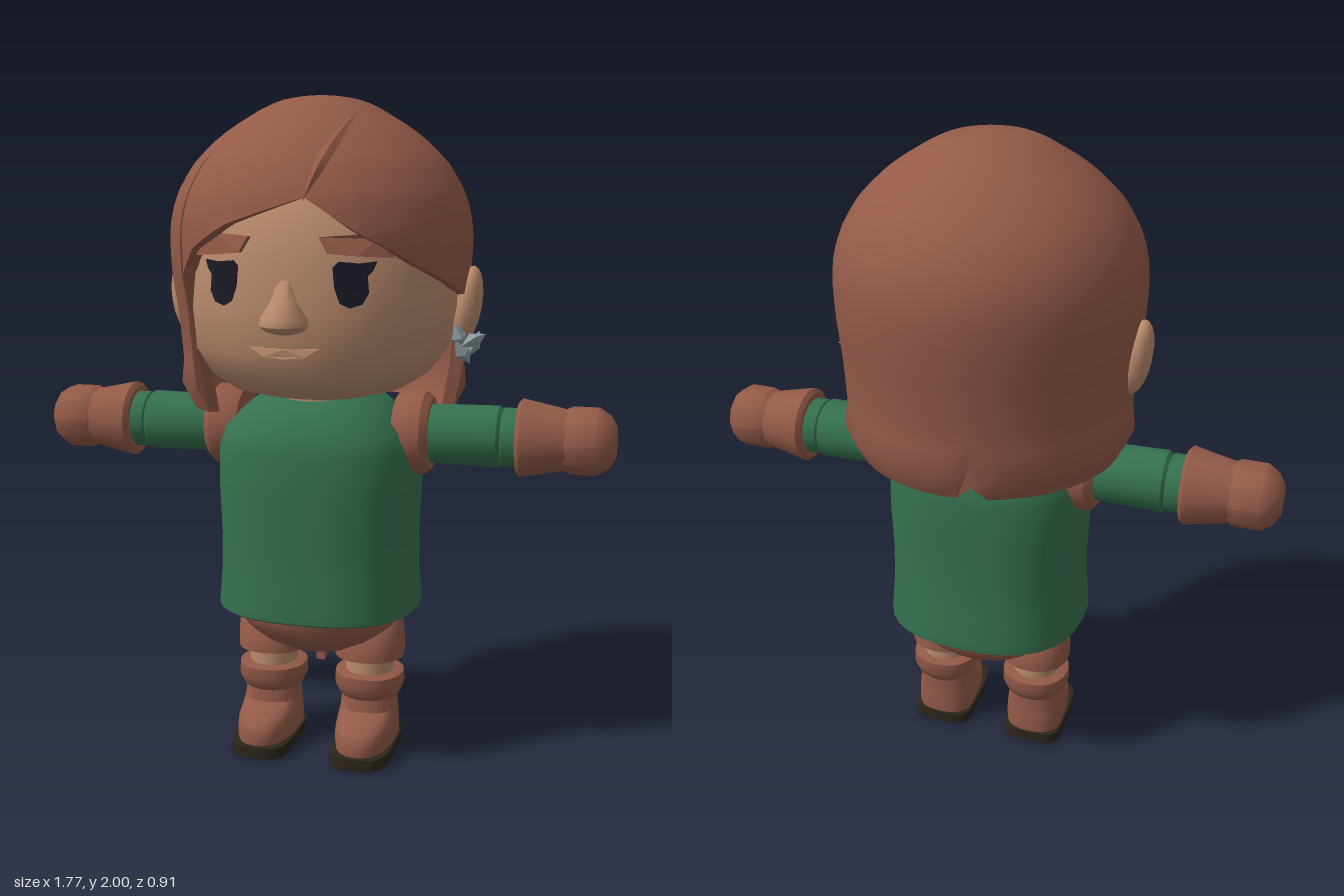
import * as THREE from 'three';
import { mergeVertices, toCreasedNormals } from 'three/addons/utils/BufferGeometryUtils.js';

const paint = (name, color) => Object.assign(new THREE.MeshStandardMaterial({ color }), { name });
const lerp = THREE.MathUtils.lerp;

// Reads a value from a sorted table of [key, value] pairs
function table(rows, k) {
  if (k <= rows[0][0]) return rows[0][1];
  for (let i = 1; i < rows.length; i++) {
    const [a, va] = rows[i - 1], [b, vb] = rows[i];
    if (k <= b) return lerp(va, vb, (k - a) / (b - a));
  }
  return rows[rows.length - 1][1];
}

// Surface from f(column, row): columns run to the right, rows run down
function grid(cols, rows, f, crease = 0.8) {
  const pos = [], idx = [];
  for (let j = 0; j <= rows; j++) for (let i = 0; i <= cols; i++) pos.push(...f(i, j));
  for (let j = 0; j < rows; j++) for (let i = 0; i < cols; i++) {
    const a = j * (cols + 1) + i, c = a + cols + 1;
    idx.push(a, c, a + 1, a + 1, c, c + 1);
  }
  const geo = new THREE.BufferGeometry();
  geo.setAttribute('position', new THREE.Float32BufferAttribute(pos, 3));
  geo.setIndex(idx);
  const merged = mergeVertices(geo, 1e-4);
  merged.computeVertexNormals();
  return toCreasedNormals(merged, crease);
}

// Closed body from levels [y, half width, front depth, back depth], top to bottom
function loft(levels, n = 2, seg = 32) {
  const first = levels[0], last = levels[levels.length - 1];
  const all = [[first[0], 0, 0, 0], ...levels, [last[0], 0, 0, 0]];
  const round = v => Math.sign(v) * Math.pow(Math.abs(v), 2 / n);
  return grid(seg, all.length - 1, (i, j) => {
    const [y, rx, zf, zb = zf] = all[j];
    const a = (i % seg) / seg * Math.PI * 2;
    const c = Math.cos(a);
    return [rx * round(Math.sin(a)), y, (c > 0 ? zf : zb) * round(c)];
  });
}

// Turned part along +x from [x, radius] points
function turned(points, seg = 16) {
  const geo = new THREE.LatheGeometry(points.map(([x, r]) => new THREE.Vector2(r, x)), seg);
  geo.rotateZ(-Math.PI / 2);
  return toCreasedNormals(geo, 0.7);
}

const FACE = [
  [1.82, 0.26, 0.24, 0.25], [1.7, 0.37, 0.34, 0.34], [1.55, 0.415, 0.38, 0.37], [1.4, 0.418, 0.387, 0.37],
  [1.28, 0.39, 0.38, 0.35], [1.2, 0.33, 0.345, 0.31], [1.155, 0.26, 0.29, 0.25], [1.13, 0.17, 0.18, 0.17],
];
const faceUp = [...FACE].reverse();
function faceZ(x, y) {
  const rx = table(faceUp.map(l => [l[0], l[1]]), y), rz = table(faceUp.map(l => [l[0], l[2]]), y);
  return rz * Math.pow(Math.max(0, 1 - Math.pow(Math.abs(x / rx), 2.1)), 1 / 2.1);
}

// Thin plate bent onto the face
function facePlate(points, depth, side = 1) {
  const shape = new THREE.Shape(points.map(([x, y]) => new THREE.Vector2(x * side, y)));
  const geo = new THREE.ExtrudeGeometry(shape, { depth, bevelEnabled: false });
  const p = geo.attributes.position;
  for (let i = 0; i < p.count; i++) p.setZ(i, p.getZ(i) + faceZ(p.getX(i), p.getY(i)) + 0.002);
  geo.computeVertexNormals();
  return geo;
}

// Hair radius at a height, and the height of the hair edge at each angle (0 = front, 90 = left)
const HAIR = [[2, 0], [1.985, 0.12], [1.94, 0.21], [1.88, 0.3], [1.8, 0.38], [1.71, 0.43], [1.62, 0.45],
  [1.5, 0.447], [1.35, 0.432], [1.2, 0.425], [1.15, 0.437], [1.08, 0.4]].map(([y, r]) => [Math.sqrt(2 - y), r]);
const hairR = y => table(HAIR, Math.sqrt(Math.max(0, 2 - y)));
const HAIRLINE = [[-48, 1.08], [-46, 1.5], [-38, 1.57], [-20, 1.64], [9, 1.71], [27, 1.62], [52, 1.525],
  [75, 1.455], [92, 1.42], [97, 1.08], [186, 1.08], [192, 1.13], [198, 1.08], [312, 1.08]];

function hairGeometries() {
  const angles = HAIRLINE.map(k => k[0]);
  for (let a = -43; a < 312; a += 6) if (!angles.some(b => Math.abs(a - b) < 1.5)) angles.push(a);
  angles.sort((a, b) => a - b);
  const cols = angles.length - 1, rows = 24;
  const point = (i, t, inner) => {
    const deg = angles[i], a = deg * Math.PI / 180;
    const y = 2 - (2 - table(HAIRLINE, deg)) * t * t;
    const r = hairR(y) * (inner ? 0.91 : 1);
    const c = Math.cos(a);
    const tuck = c > 0 ? lerp(0.7, 1, Math.min(1, (y - 1.08) / 0.42)) * 0.98 : 1.02;
    return [r * Math.sin(a), y - (inner ? 0.03 * (1 - t) : 0), r * c * tuck];
  };
  return {
    hairShell: grid(cols, rows, (i, j) => point(i, j / rows, false), 1.2),
    hairRim: grid(cols, 1, (i, j) => point(i, 1, j === 1)),
    hairLining: grid(cols, rows, (i, j) => point(i, 1 - j / rows, true), 1.2),
  };
}

export function createModel() {
  const model = new THREE.Group();
  model.name = 'figure';
  const brown = paint('brown', 0x935a47), green = paint('green', 0x35704f), skin = paint('skin', 0xba8b6c);
  const ink = paint('eye dark', 0x1b1b27), metal = paint('metal', 0x8a979c), sole = paint('sole dark', 0x2c251c);
  const lip = paint('lip', 0xc79374);
  const add = (name, geo, mat, x = 0, y = 0, z = 0, parent = model) => {
    const mesh = new THREE.Mesh(geo, mat);
    mesh.name = name;
    mesh.position.set(x, y, z);
    parent.add(mesh);
    return mesh;
  };

  // Head and neck
  add('head', loft(FACE, 2.1, 40), skin);
  add('neck', new THREE.CylinderGeometry(0.16, 0.16, 0.12, 20), skin, 0, 1.12, 0);
  add('nose', loft([[1.5, 0.02, 0.012], [1.43, 0.042, 0.05], [1.385, 0.07, 0.088], [1.365, 0.072, 0.09],
    [1.35, 0.055, 0.07], [1.342, 0.03, 0.04]], 2, 14), skin, 0, 0, 0.365);
  add('mouth', facePlate([[-0.1, 1.305], [-0.06, 1.28], [0, 1.274], [0.06, 1.28], [0.1, 1.305], [0, 1.301]], 0.009), lip);
  for (const s of [1, -1]) {
    add('eye', facePlate([[0.135, 1.525], [0.15, 1.54], [0.2, 1.535], [0.245, 1.54], [0.235, 1.515], [0.222, 1.5],
      [0.226, 1.455], [0.21, 1.425], [0.18, 1.415], [0.155, 1.428], [0.14, 1.47]], 0.009, s), ink);
    add('eyebrow', facePlate([[0.1, 1.605], [0.125, 1.562], [0.2, 1.555], [0.285, 1.55], [0.25, 1.6], [0.2, 1.612]],
      0.03, s), brown);
    const ear = add('ear', new THREE.SphereGeometry(1, 14, 10), skin, 0.44 * s, 1.4, -0.015);
    ear.scale.set(0.042, 0.115, 0.058);
    ear.rotation.z = -0.15 * s;
  }

  // Earring crystals under the left ear
  [[0.425, 1.31, 0.035, 0.3], [0.465, 1.3, 0.02, -0.9], [0.435, 1.265, 0.03, 0.5], [0.46, 1.285, -0.005, -0.4]]
    .forEach(([x, y, z, tilt]) => {
      const gem = add('earringCrystal', new THREE.OctahedronGeometry(1), metal, x, y, z);
      gem.scale.set(0.024, 0.045, 0.026);
      gem.rotation.set(tilt * 0.6, 0.4, tilt);
    });

  // Hair with a raised parting
  const hair = hairGeometries();
  for (const name in hair) add(name, hair[name], brown);
  add('hairParting', grid(2, 14, (i, j) => {
    const t = 1 - j / 14, y = lerp(1.7, 1.955, t);
    const x = lerp(0.065, 0.15, t) + (i - 1) * 0.022 * Math.sin(Math.PI * t);
    const r = hairR(y) + (i === 1 ? 0.014 * Math.sin(Math.PI * t) : -0.002);
    return [x, y, Math.sqrt(Math.max(0, r * r - x * x)) * 0.98];
  }, 0.2), brown);

  // Tunic and trousers
  add('tunic', loft([[1.135, 0.14, 0.13, 0.14], [1.11, 0.2, 0.18, 0.2], [1.03, 0.288, 0.25, 0.255],
    [0.97, 0.306, 0.262, 0.262], [0.85, 0.307, 0.27, 0.265], [0.7, 0.3, 0.268, 0.266], [0.58, 0.302, 0.273, 0.275],
    [0.5, 0.308, 0.28, 0.287], [0.475, 0.31, 0.28, 0.287], [0.468, 0.3, 0.27, 0.277]], 2.5), green);
  add('trousers', loft([[0.5, 0.27, 0.255], [0.45, 0.262, 0.25], [0.41, 0.235, 0.228], [0.37, 0.185, 0.185],
    [0.335, 0.12, 0.12], [0.32, 0.06, 0.06]], 2.1), brown);
  add('trouserTie', new THREE.BoxGeometry(0.026, 0.06, 0.03), brown, 0, 0.3, 0);

  for (const s of [1, -1]) {
    // Arms
    const arm = new THREE.Group();
    arm.name = s > 0 ? 'leftArm' : 'rightArm';
    arm.position.y = 1.015;
    arm.rotation.y = s > 0 ? 0 : Math.PI;
    model.add(arm);
    const part = (name, pts, mat, seg) => add(name, turned(pts, seg), mat, 0, 0, 0, arm);
    part('shoulderBand', [[0.24, 0], [0.24, 0.115], [0.27, 0.126], [0.325, 0.126], [0.345, 0.108], [0.345, 0]], brown);
    part('sleeve', [[0.3, 0.085], [0.36, 0.09], [0.545, 0.093], [0.555, 0.082], [0.56, 0.088], [0.615, 0.088], [0.615, 0]], green);
    part('gloveCuff', [[0.6, 0], [0.6, 0.105], [0.612, 0.118], [0.64, 0.112], [0.745, 0.09], [0.76, 0]], brown);
    part('hand', [[0.72, 0], [0.725, 0.085], [0.755, 0.1], [0.83, 0.1], [0.865, 0.078], [0.884, 0.045], [0.884, 0]], brown, 10);

    // Legs and boots
    const leg = new THREE.Group();
    leg.name = s > 0 ? 'leftLeg' : 'rightLeg';
    leg.position.x = 0.158 * s;
    model.add(leg);
    const limb = (name, levels, mat, n) => add(name, loft(levels, n, 24), mat, 0, 0, 0, leg);
    limb('trouserLeg', [[0.45, 0.1, 0.045], [0.42, 0.105, 0.07], [0.36, 0.108, 0.108], [0.308, 0.108, 0.11]], brown, 2.2);
    limb('shin', [[0.34, 0.075, 0.08], [0.22, 0.075, 0.08]], skin, 2);
    limb('bootCuff', [[0.258, 0.085, 0.085], [0.252, 0.106, 0.107], [0.215, 0.108, 0.108], [0.185, 0.095, 0.095],
      [0.17, 0.08, 0.08]], brown, 2.2);
    limb('boot', [[0.2, 0.083, 0.084, 0.08], [0.14, 0.088, 0.092, 0.078], [0.122, 0.09, 0.14, 0.078],
      [0.1, 0.092, 0.19, 0.08], [0.07, 0.093, 0.205, 0.082], [0.035, 0.09, 0.202, 0.082]], brown, 2.5);
    limb('bootSole', [[0.04, 0.096, 0.218, 0.088], [0.005, 0.096, 0.218, 0.088], [0, 0.09, 0.21, 0.082]], sole, 4);
  }
  return model;
}
